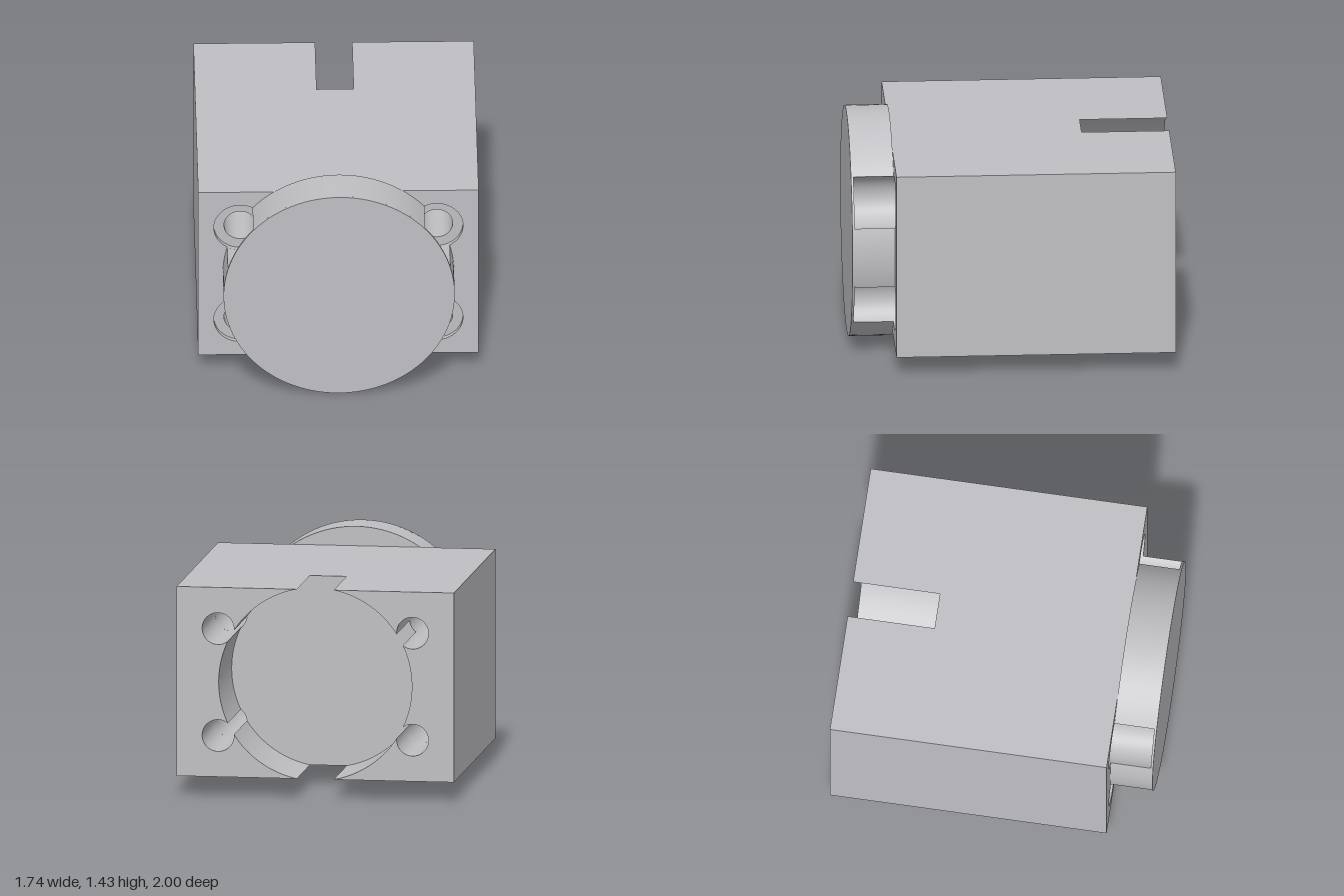
import * as THREE from 'three';
import { toCreasedNormals } from 'three/addons/utils/BufferGeometryUtils.js';

// Main sizes
const W = 0.87, H = 0.595, CY = 0.72;            // block half width, half height, centre height
const BORE = 0.606, DISC = 0.717;                // rear bore and front disc radii
const HX = 0.61, HY = 0.336, SHANK = 0.1, HEAD = 0.163; // bolt holes
const D = Math.hypot(HX, HY), PHI = Math.atan2(HY, HX);

// Points along an arc; the start point is left out so that arcs chain cleanly
function arc(cx, cy, r, a0, a1, n) {
  return Array.from({ length: n }, (_, i) => {
    const a = a0 + (a1 - a0) * (i + 1) / n;
    return new THREE.Vector2(cx + r * Math.cos(a), cy + r * Math.sin(a));
  });
}

// Where a circle of radius R about the origin meets a bolt hole of radius r:
// half angle seen from the origin, and from the hole centre
function meet(R, r) {
  const a = (R * R - r * r + D * D) / (2 * D), w = Math.sqrt(R * R - a * a);
  return { big: Math.atan2(w, a), small: Math.atan2(w, a - D) };
}

function blockShape(holeRadius) {
  const s = new THREE.Shape([[-W, -H], [W, -H], [W, H], [-W, H]].map(p => new THREE.Vector2(...p)));
  for (const x of [-HX, HX]) for (const y of [-HY, HY]) {
    s.holes.push(new THREE.Path(arc(x, y, holeRadius, 0, -Math.PI * 2, 40)));
  }
  return s;
}

// One side of the rear block: the bore breaks through top and bottom and into the bolt holes
function jawShape(side) {
  const m = meet(BORE, SHANK), end = Math.asin(H / BORE), gap = Math.sqrt(BORE * BORE - H * H);
  const pts = [[gap, H], [W, H], [W, -H], [gap, -H]].map(p => new THREE.Vector2(...p));
  let from = -end;
  for (const phi of [-PHI, PHI]) {
    pts.push(...arc(0, 0, BORE, from, phi - m.big, 24));
    pts.push(...arc(D * Math.cos(phi), D * Math.sin(phi), SHANK, phi - m.small, phi + m.small, 36));
    from = phi + m.big;
  }
  pts.push(...arc(0, 0, BORE, from, end, 24).slice(0, -1));
  pts.forEach(p => { p.x *= side; });
  return new THREE.Shape(pts);
}

// Disc with four round bites giving room for the bolt heads
function bittenDiscShape() {
  const m = meet(DISC, HEAD), pts = [];
  const angles = [PHI, Math.PI - PHI, Math.PI + PHI, Math.PI * 2 - PHI];
  let from = -PHI + m.big;
  for (const phi of angles) {
    pts.push(...arc(0, 0, DISC, from, phi - m.big, 28));
    pts.push(...arc(D * Math.cos(phi), D * Math.sin(phi), HEAD, phi - m.small, phi + m.small - Math.PI * 2, 24));
    from = phi + m.big;
  }
  return new THREE.Shape(pts);
}

export function createModel() {
  const group = new THREE.Group();
  const grey = new THREE.MeshStandardMaterial({ color: 0xc0c0c4 });
  grey.name = 'light grey';

  // Extrude a section between two depths
  function slab(name, shape, z0, z1) {
    const geo = new THREE.ExtrudeGeometry(shape, { depth: z1 - z0, bevelEnabled: false });
    const mesh = new THREE.Mesh(toCreasedNormals(geo, 0.5), grey);
    mesh.name = name;
    mesh.position.set(0, CY, z0);
    group.add(mesh);
  }

  const boreFloor = -0.455, recess = 0.705, front = 0.735, lip = 0.985;
  slab('leftBoreWall', jawShape(1), -1, boreFloor);
  slab('rightBoreWall', jawShape(-1), -1, boreFloor);
  slab('block', blockShape(SHANK), boreFloor, recess);
  slab('boltHeadRecesses', blockShape(HEAD), recess, front);
  slab('discBody', bittenDiscShape(), front, lip);
  slab('discLip', new THREE.Shape(arc(0, 0, DISC, 0, Math.PI * 2, 128)), lip, 1);
  return group;
}
